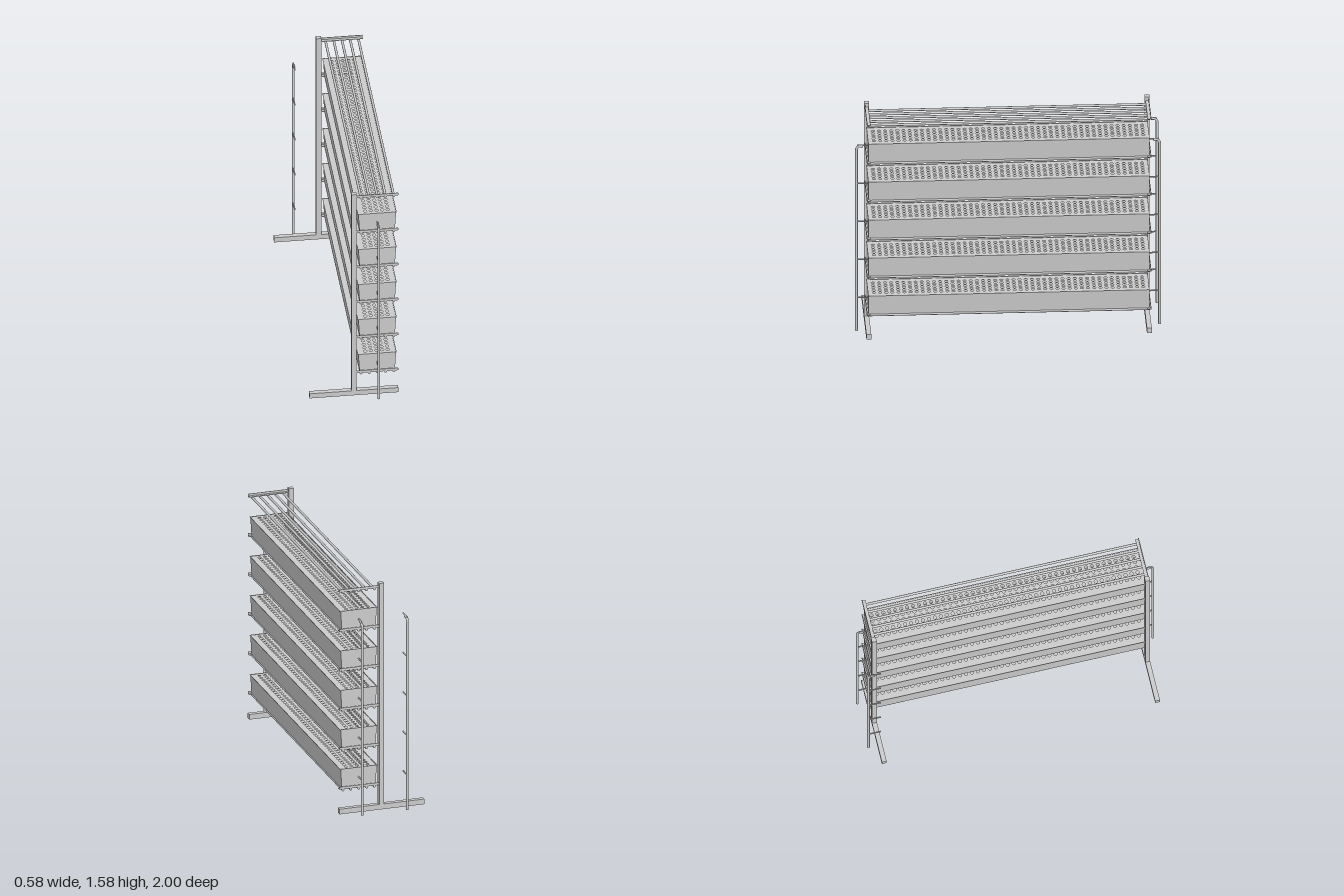
import * as THREE from 'three';

const mat = new THREE.MeshStandardMaterial({ color: 0xcccccc, side: THREE.DoubleSide });
const flat = new THREE.MeshStandardMaterial({ color: 0xcccccc, side: THREE.DoubleSide, flatShading: true });

const LEVELS = 6, STEP = 0.2757, FIRST = 0.171; // underside heights of the shelf arms
const MID = 0.154;                             // x of the shelf centre line
const HALF = 0.918;                            // half length of troughs

function add(parent, name, geometry, x = 0, y = 0, z = 0, material = flat) {
  const mesh = new THREE.Mesh(geometry, material);
  mesh.name = name;
  mesh.position.set(x, y, z);
  parent.add(mesh);
  return mesh;
}

// Flat lid with a regular grid of round planting holes
function lidGeometry(halfWidth, halfLength) {
  const shape = new THREE.Shape([
    [-halfWidth, -halfLength], [halfWidth, -halfLength],
    [halfWidth, halfLength], [-halfWidth, halfLength],
  ].map(([x, y]) => new THREE.Vector2(x, y)));
  for (let c = -2; c <= 2; c++) {
    for (let r = -22; r <= 22; r++) {
      const hole = new THREE.Path();
      hole.absarc(c * 0.037, r * 0.04, 0.011, 0, Math.PI * 2, true);
      shape.holes.push(hole);
    }
  }
  return new THREE.ShapeGeometry(shape, 5).rotateX(-Math.PI / 2);
}

// Open trough: tapered profile run along z, closed by end panels
function troughParts() {
  const outline = [[-0.128, 0.137], [-0.128, 0.132], [-0.124, 0.132], [-0.116, 0],
    [0.116, 0], [0.124, 0.132], [0.128, 0.132], [0.128, 0.137]];
  const inner = [[0.123, 0.137], [0.114, 0.003], [-0.114, 0.003], [-0.123, 0.137]];
  const points = (list) => list.map(([x, y]) => new THREE.Vector2(x, y));
  const shell = new THREE.ExtrudeGeometry(new THREE.Shape(points([...outline, ...inner])),
    { depth: HALF * 2, bevelEnabled: false }).translate(0, 0, -HALF);
  const end = new THREE.ExtrudeGeometry(new THREE.Shape(points(outline)),
    { depth: 0.003, bevelEnabled: false });
  return { shell, end, lid: lidGeometry(0.123, HALF - 0.002) };
}

// Water pipe rising outside one end, with a nozzle for every trough
function waterPipe(x, side) {
  const pipe = new THREE.Group();
  pipe.name = 'waterPipe';
  const path = new THREE.CurvePath();
  const v = (y, z) => new THREE.Vector3(x, y, side * z);
  path.add(new THREE.LineCurve3(v(0, 0.991), v(1.312, 0.991)));
  path.add(new THREE.QuadraticBezierCurve3(v(1.312, 0.991), v(1.338, 0.991), v(1.338, 0.965)));
  path.add(new THREE.LineCurve3(v(1.338, 0.965), v(1.338, 0.95)));
  add(pipe, 'riser', new THREE.TubeGeometry(path, 120, 0.009, 12), 0, 0, 0, mat);
  for (const [y, z] of [[0, 0.991], [1.338, 0.95]]) {
    const cap = add(pipe, 'pipeEnd', new THREE.CircleGeometry(0.009, 12), x, y, side * z);
    if (y === 0) cap.rotation.x = Math.PI / 2;
  }
  const nozzle = new THREE.CylinderGeometry(0.005, 0.005, 0.08, 10).rotateX(Math.PI / 2);
  for (let i = 0; i < LEVELS - 1; i++) {
    add(pipe, 'nozzle', nozzle, x, 0.241 + i * STEP, side * 0.948, mat);
  }
  return pipe;
}

export function createModel() {
  const model = new THREE.Group();
  model.name = 'plantRack';

  // End frames: foot and upright post
  for (const side of [-1, 1]) {
    const frame = new THREE.Group();
    frame.name = side > 0 ? 'frontFrame' : 'backFrame';
    add(frame, 'foot', new THREE.BoxGeometry(0.585, 0.036, 0.032), -0.002, 0.018, side * 0.917);
    add(frame, 'post', new THREE.BoxGeometry(0.034, 1.544, 0.032), -0.001, 0.808, side * 0.917);
    model.add(frame);
  }

  // Shelves: angle-iron arms at both ends carrying five rods
  const arm = new THREE.BoxGeometry(0.274, 0.018, 0.004);
  const flange = new THREE.BoxGeometry(0.274, 0.004, 0.024);
  const rod = new THREE.CylinderGeometry(0.0085, 0.0085, 1.846, 12).rotateX(Math.PI / 2);
  const trough = troughParts();
  for (let i = 0; i < LEVELS; i++) {
    const shelf = new THREE.Group();
    shelf.name = 'shelf';
    shelf.position.y = FIRST + i * STEP;
    for (const side of [-1, 1]) {
      add(shelf, 'arm', arm, 0.153, 0.009, side * 0.928);
      add(shelf, 'armFlange', flange, 0.153, 0.002, side * 0.918);
    }
    for (let r = -2; r <= 2; r++) add(shelf, 'rod', rod, MID + r * 0.054, -0.0085, 0, mat);

    // Trough on every shelf but the top one
    if (i < LEVELS - 1) {
      const planter = new THREE.Group();
      planter.name = 'trough';
      planter.position.set(MID - 0.001, 0.001, 0);
      add(planter, 'troughShell', trough.shell);
      add(planter, 'troughEnd', trough.end, 0, 0, HALF - 0.002);
      add(planter, 'troughEnd', trough.end, 0, 0, -HALF - 0.001);
      add(planter, 'perforatedLid', trough.lid, 0, 0.134, 0);
      shelf.add(planter);
    }
    model.add(shelf);
  }

  // One supply pipe in front, supply and drain pipes behind
  model.add(waterPipe(0.154, 1), waterPipe(0.154, -1), waterPipe(-0.158, -1));
  return model;
}
